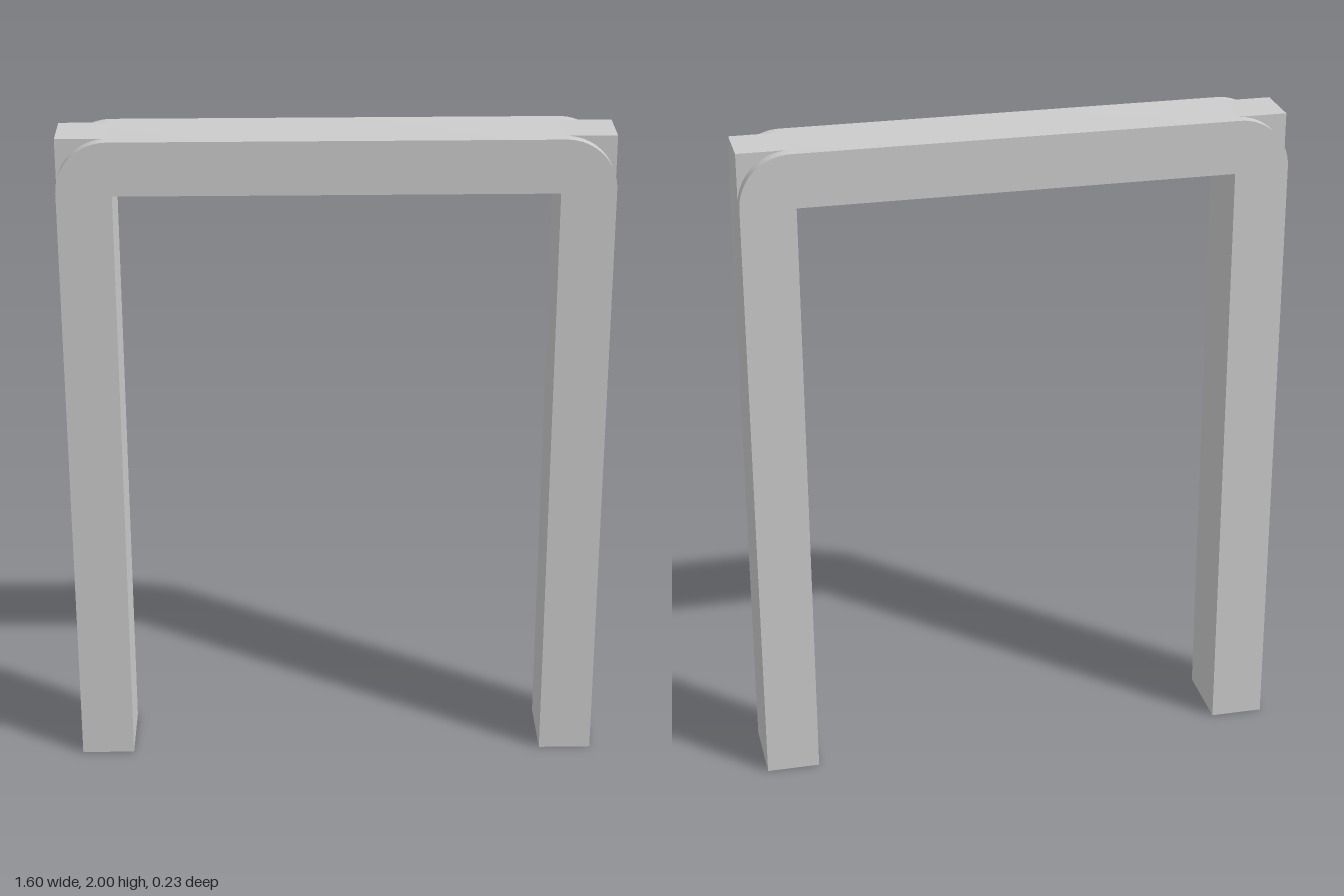
import * as THREE from 'three';
import { toCreasedNormals } from 'three/addons/utils/BufferGeometryUtils.js';

const W = 0.8, H = 2, INNER_X = 0.64, INNER_Y = 1.84, R = 0.15;
const DEPTH = 0.228, CORE = 0.156;

export function createModel() {
  const group = new THREE.Group();
  const material = new THREE.MeshStandardMaterial({ color: 0xcccccc });

  const addSlab = (name, shape, depth) => {
    const geometry = new THREE.ExtrudeGeometry(shape, { depth, bevelEnabled: false, curveSegments: 8 });
    geometry.translate(0, 0, -depth / 2);
    const mesh = new THREE.Mesh(toCreasedNormals(geometry, 0.5), material);
    mesh.name = name;
    group.add(mesh);
  };

  // Two legs and a crossbar in one piece, rounded at the outer top corners
  const frame = new THREE.Shape();
  frame.moveTo(-W, 0);
  frame.lineTo(-INNER_X, 0);
  frame.lineTo(-INNER_X, INNER_Y);
  frame.lineTo(INNER_X, INNER_Y);
  frame.lineTo(INNER_X, 0);
  frame.lineTo(W, 0);
  frame.lineTo(W, H - R);
  frame.absarc(W - R, H - R, R, 0, Math.PI / 2, false);
  frame.lineTo(-W + R, H);
  frame.absarc(-W + R, H - R, R, Math.PI / 2, Math.PI, false);
  frame.closePath();
  addSlab('frame', frame, DEPTH);

  // Narrower square blocks filling the middle of each rounded corner
  for (const side of [1, -1]) {
    const corner = new THREE.Shape();
    corner.moveTo(side * W, H - R);
    corner.lineTo(side * W, H);
    corner.lineTo(side * (W - R), H);
    corner.absarc(side * (W - R), H - R, R, Math.PI / 2, side > 0 ? 0 : Math.PI, side > 0);
    addSlab(side > 0 ? 'leftCornerBlock' : 'rightCornerBlock', corner, CORE);
  }

  return group;
}
